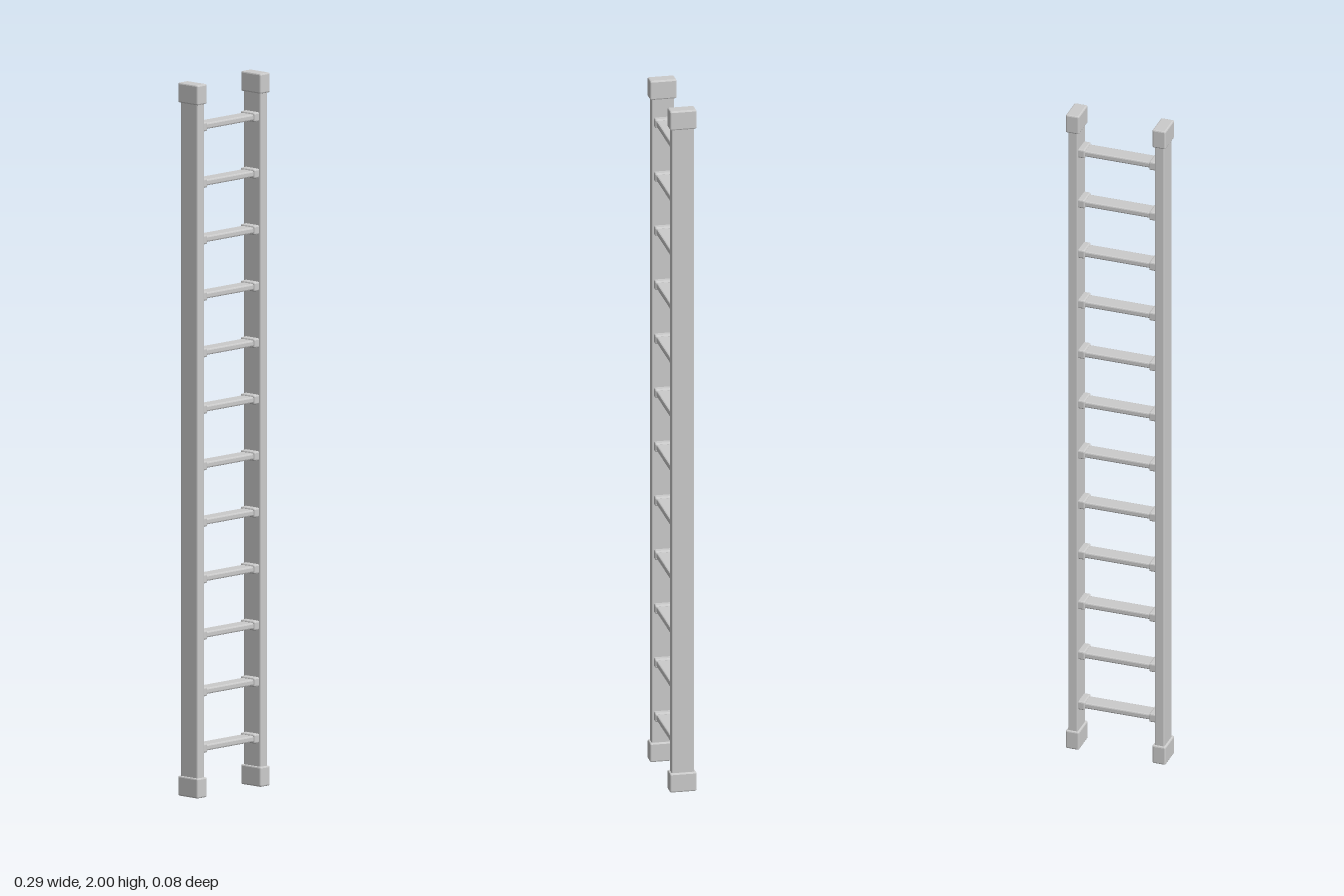
import * as THREE from 'three';
import { RoundedBoxGeometry } from 'three/addons/geometries/RoundedBoxGeometry.js';

const material = new THREE.MeshStandardMaterial({ color: 0xcccccc, flatShading: true });

// Box with softened edges, centred on the given point
function addBlock(parent, name, size, bevel, position) {
  const mesh = new THREE.Mesh(new RoundedBoxGeometry(...size, 1, bevel), material);
  mesh.name = name;
  mesh.position.set(...position);
  parent.add(mesh);
}

export function createModel() {
  const ladder = new THREE.Group();
  ladder.name = 'ladder';

  const railX = 0.127;
  const capHeight = 0.056;

  // Side rails with a cap at each end
  for (const side of [-1, 1]) {
    const prefix = side > 0 ? 'left' : 'right';
    const x = side * railX;
    addBlock(ladder, `${prefix}Rail`, [0.028, 1.96, 0.064], 0.003, [x, 1, 0]);
    addBlock(ladder, `${prefix}Foot`, [0.039, capHeight, 0.075], 0.004, [x, capHeight / 2, 0]);
    addBlock(ladder, `${prefix}TopCap`, [0.039, capHeight, 0.075], 0.004, [x, 2 - capHeight / 2, 0]);
  }

  // Evenly spaced rungs, each held by a collar at both rails
  const rungCount = 12;
  const firstY = 0.135;
  const lastY = 1.878;
  for (let i = 0; i < rungCount; i++) {
    const rung = new THREE.Group();
    rung.name = `rung${i + 1}`;
    rung.position.y = firstY + ((lastY - firstY) * i) / (rungCount - 1);
    addBlock(rung, 'tread', [0.24, 0.017, 0.046], 0.004, [0, 0, 0]);
    for (const side of [-1, 1]) {
      addBlock(rung, 'collar', [0.024, 0.026, 0.053], 0.004, [side * 0.106, 0, 0]);
    }
    ladder.add(rung);
  }

  return ladder;
}
